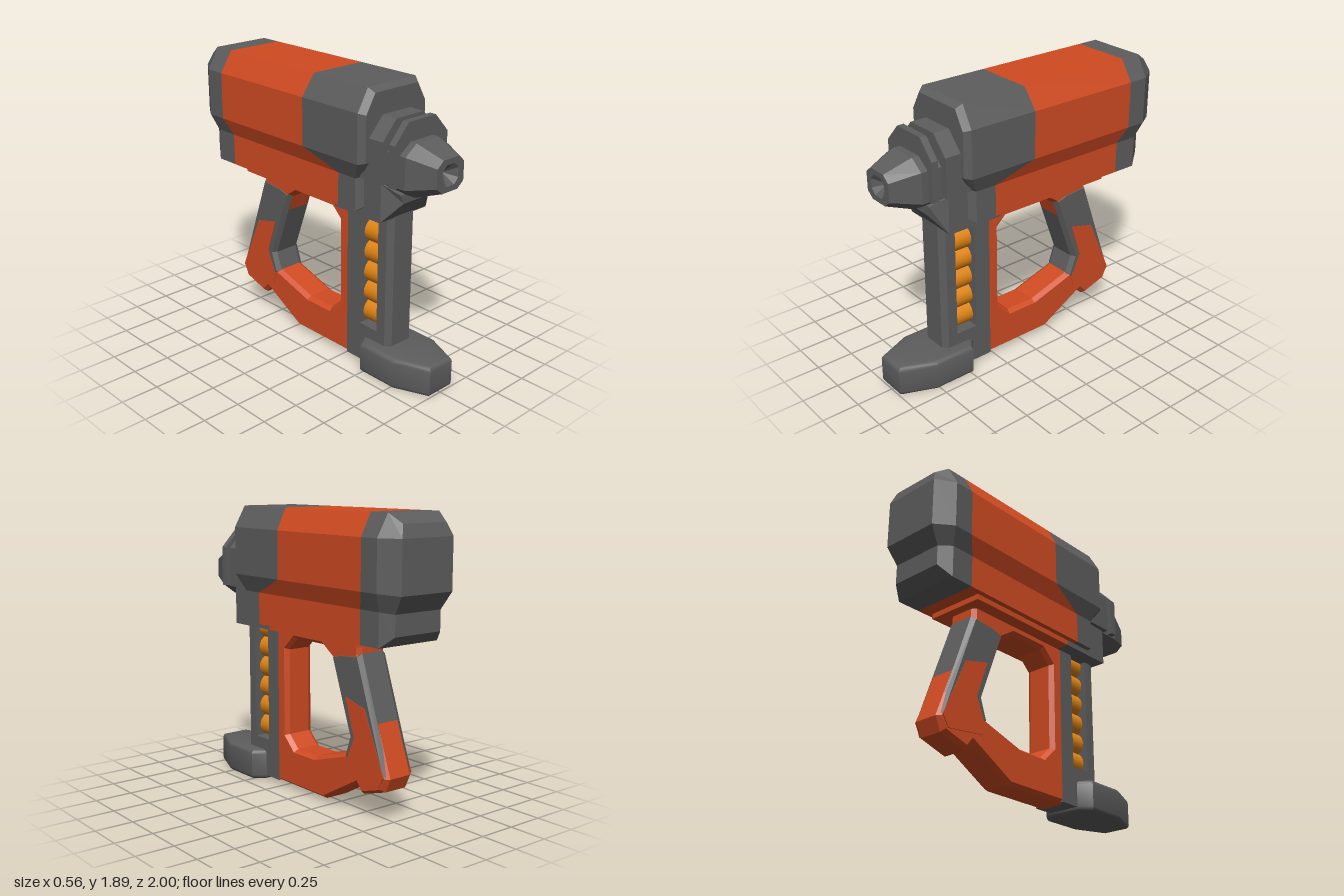
import * as THREE from 'three';
import { toCreasedNormals } from 'three/addons/utils/BufferGeometryUtils.js';

export function createModel() {
  const model = new THREE.Group();
  model.name = 'powerTool';
  const material = (name, color) => {
    const m = new THREE.MeshStandardMaterial({ color });
    m.name = name;
    return m;
  };
  const dark = material('darkGrey', 0x5d5d5d);
  const orange = material('orange', 0xd04b22);
  const amber = material('amber', 0xe08414);

  const add = (name, geometry, mat) => {
    const mesh = new THREE.Mesh(geometry, mat);
    mesh.name = name;
    model.add(mesh);
    return mesh;
  };
  const box = (name, mat, hx, y0, y1, z0, z1) =>
    add(name, new THREE.BoxGeometry(2 * hx, y1 - y0, z1 - z0), mat)
      .position.set(0, (y0 + y1) / 2, (z0 + z1) / 2);

  // Faceted loft through mirrored half sections, listed bottom to top, back to front
  function loft(sections, capBack = true, capFront = true) {
    const out = [];
    const quad = (a, b, c, d) => out.push(...a, ...b, ...c, ...a, ...c, ...d);
    const flip = ([x, y, z]) => [-x, y, z];
    const rings = sections.map(s => [...s, ...s.map(flip).reverse()]);
    const n = rings[0].length;
    for (let r = 0; r < rings.length - 1; r++) {
      const a = rings[r], b = rings[r + 1];
      for (let i = 0; i < n; i++) {
        const j = (i + 1) % n;
        quad(a[i], a[j], b[j], b[i]);
      }
    }
    const cap = (s, front) => {
      for (let k = 0; k < s.length - 1; k++) {
        const q = [s[k], s[k + 1], flip(s[k + 1]), flip(s[k])];
        quad(...(front ? q : q.reverse()));
      }
    };
    if (capBack) cap(sections[0], false);
    if (capFront) cap(sections[sections.length - 1], true);
    const g = new THREE.BufferGeometry();
    g.setAttribute('position', new THREE.Float32BufferAttribute(out, 3));
    g.computeVertexNormals();
    return g;
  }
  const atZ = (profile, z) => profile.map(([x, y], i) => [x, y, Array.isArray(z) ? z[i] : z]);

  // Side outline [z, y] extruded across x, with chamfered edges inside the outline
  const points = list => list.map(([a, b]) => new THREE.Vector2(a, b));
  function sidePlate(outline, halfWidth, bevel, hole) {
    const shape = new THREE.Shape(points(outline));
    if (hole) shape.holes.push(new THREE.Path(points(hole)));
    const depth = 2 * (halfWidth - bevel * 1.4);
    const g = new THREE.ExtrudeGeometry(shape, {
      depth, bevelEnabled: bevel > 0, bevelSize: bevel, bevelOffset: -bevel,
      bevelThickness: bevel * 1.4, bevelSegments: 1,
    });
    return g.translate(0, 0, -depth / 2).rotateY(-Math.PI / 2);
  }

  // Main housing, split along its colour seams
  const hull = [[0.235, 1.12], [0.235, 1.33], [0.28, 1.44], [0.28, 1.75], [0.2, 1.89]];
  const backFace = [[0.18, 1.19, -0.93], [0.18, 1.32, -0.93], [0.2, 1.43, -1], [0.2, 1.75, -1], [0.17, 1.83, -0.97]];
  const frontFace = [[0.2, 1.15, 0.51], [0.2, 1.345, 0.51], [0.25, 1.45, 0.57], [0.25, 1.74, 0.57], [0.18, 1.86, 0.57]];
  const backRim = atZ(hull, [-0.85, -0.85, -0.88, -0.88, -0.88]);
  const rearSeam = atZ(hull, [-0.69, -0.69, -0.745, -0.745, -0.735]);
  const frontSeam = atZ(hull, [0.325, 0.325, 0.055, 0.055, 0.075]);
  const frontRim = atZ(hull, [0.47, 0.47, 0.53, 0.53, 0.53]);
  add('rearHousing', loft([backFace, backRim, rearSeam], true, false), dark);
  add('middleHousing', loft([rearSeam, frontSeam], false, false), orange);
  add('frontHousing', loft([frontSeam, frontRim, frontFace], false, true), dark);

  // Rail under the housing
  box('railRear', orange, 0.2, 1.085, 1.13, -0.6, 0.26);
  box('railFront', dark, 0.2, 1.085, 1.13, 0.26, 0.65);

  // Collar, neck and flange around the nose
  const ringProfile = [[0.225, 1.34], [0.225, 1.6], [0.115, 1.72]];
  add('collar', loft([atZ(ringProfile, 0.5), atZ(ringProfile, 0.68)]), dark);
  add('flange', loft([atZ(ringProfile, 0.73), atZ(ringProfile, 0.775)]), dark);

  // Nose cone with a recessed muzzle
  const octagon = (hx, hy, cx, cy, z, y = 1.435) => [
    [hx - cx, y - hy, z], [hx, y - hy + cy, z], [hx, y + hy - cy, z], [hx - cx, y + hy, z],
  ];
  add('noseCone', loft([
    octagon(0.185, 0.165, 0.09, 0.065, 0.66),
    octagon(0.185, 0.165, 0.09, 0.065, 0.82),
    octagon(0.115, 0.1, 0.05, 0.04, 1),
    octagon(0.07, 0.065, 0.035, 0.035, 1),
    octagon(0.004, 0.004, 0.002, 0.002, 0.94),
  ]), dark);

  // Wedge block joining nose and magazine
  add('noseBlock', loft([
    [[0.2, 1.09, 0.4], [0.2, 1.34, 0.4]],
    [[0.2, 1.09, 0.65], [0.2, 1.335, 0.65]],
    [[0.1, 1.21, 0.74], [0.13, 1.27, 0.74]],
  ]), dark);

  // Magazine column with an open slot
  add('magazineFront', loft([
    [[0.112, 0.1, 0.55], [0.112, 1.1, 0.55]],
    [[0.112, 0.1, 0.62], [0.112, 1.1, 0.62]],
    [[0.08, 0.1, 0.655], [0.08, 1.1, 0.655]],
  ]), dark);
  box('magazineBack', dark, 0.112, 0.03, 1.1, 0.285, 0.4);
  box('magazineBase', dark, 0.112, 0.03, 0.29, 0.4, 0.55);

  // Round cartridges stacked in the slot
  for (let i = 0; i < 6; i++) {
    const g = new THREE.CylinderGeometry(0.078, 0.078, 0.15, 20).rotateX(Math.PI / 2);
    add('cartridge', g, amber).position.set(0, 0.362 + i * 0.139, 0.475);
  }

  // Handle frame with finger opening
  add('handleFrame', sidePlate(
    [[0.315, 1.1], [0.315, 0.025], [-0.2, 0.025], [-0.52, 0.205], [-0.565, 0.15],
      [-0.76, 0.21], [-0.8, 0.3], [-0.535, 1.02], [-0.535, 1.12], [0.315, 1.12]],
    0.11, 0.022,
    [[0.2, 0.95], [0.11, 1.035], [-0.17, 1.035], [-0.275, 0.965], [-0.45, 0.5],
      [-0.405, 0.38], [-0.1, 0.285], [0.11, 0.285], [0.2, 0.37]],
  ), orange);

  // Dark grip sleeve and its orange side patches
  add('gripSleeve', sidePlate(
    [[-0.269, 0.985], [-0.446, 0.5], [-0.398, 0.365], [-0.43, 0.33], [-0.794, 0.3], [-0.539, 1.03], [-0.36, 1.015]],
    0.114, 0.022,
  ), dark);
  const patch = sidePlate(
    [[-0.42, 0.745], [-0.505, 0.5], [-0.435, 0.345], [-0.45, 0.27], [-0.73, 0.235], [-0.776, 0.31], [-0.6, 0.7]],
    0.003, 0,
  );
  for (const side of [-1, 1]) add('gripPatch', patch, orange).position.x = side * 0.114;

  // Tapered foot pad
  const plan = new THREE.Shape(points([
    [0.11, 0.43], [0.195, 0.49], [0.195, 0.77], [0.1, 1],
    [-0.1, 1], [-0.195, 0.77], [-0.195, 0.49], [-0.11, 0.43],
  ]));
  const foot = new THREE.ExtrudeGeometry(plan, {
    depth: 0.15, bevelSize: 0.03, bevelOffset: -0.03, bevelThickness: 0.03, bevelSegments: 3,
  }).translate(0, 0, -0.075).rotateX(Math.PI / 2).translate(0, 0.105, 0);
  add('footPad', toCreasedNormals(foot, 0.6), dark);

  return model;
}
